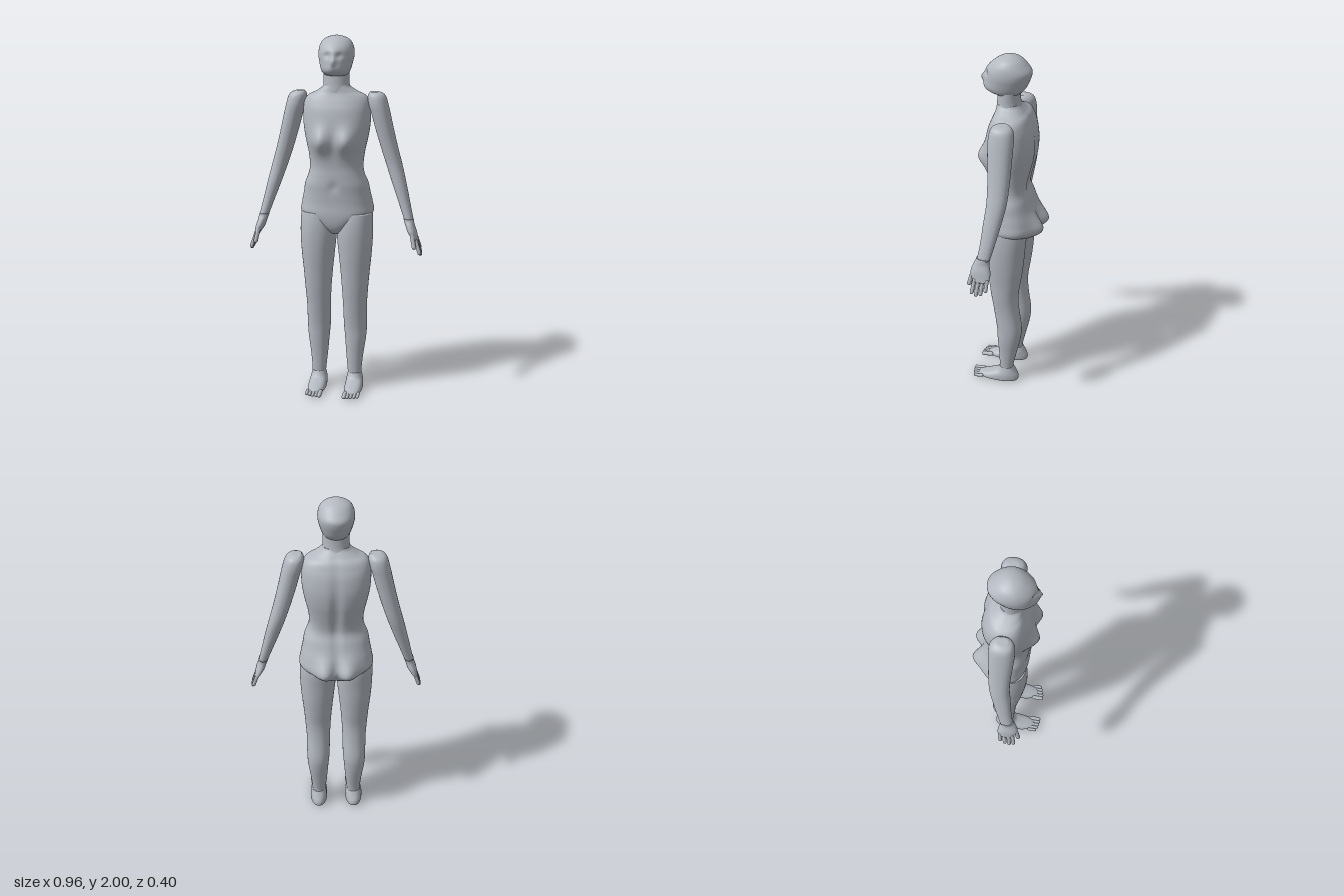
import * as THREE from 'three';

const skin = new THREE.MeshStandardMaterial({ color: 0xb4b9c1 });
skin.name = 'matte grey';

// Catmull-Rom blend of four numbers
const blend = (a, b, c, d, t) =>
  b + 0.5 * t * (c - a + t * (2 * a - 5 * b + 4 * c - d + t * (3 * (b - c) + d - a)));

// Horizontal slices [y, centre x, half width, front z, back z], listed from bottom to top
function loft(name, rows, { power = 2, shape = null, seg = 48, steps = 5 } = {}) {
  const at = (i) => rows[Math.min(Math.max(i, 0), rows.length - 1)];
  const rings = [];
  for (let i = 0; i < rows.length - 1; i++) {
    for (let k = 0; k < steps; k++) {
      rings.push(at(i).map((_, c) => blend(at(i - 1)[c], at(i)[c], at(i + 1)[c], at(i + 2)[c], k / steps)));
    }
  }
  rings.push(at(rows.length - 1));
  const pos = [], idx = [];
  const bend = (v) => Math.sign(v) * Math.abs(v) ** (2 / power);
  for (const [y, cx, hw, zf, zb] of rings) {
    for (let j = 0; j < seg; j++) {
      const a = (j / seg) * Math.PI * 2;
      const p = new THREE.Vector3(cx + hw * bend(Math.cos(a)), y, (zf + zb) / 2 + ((zf - zb) / 2) * bend(Math.sin(a)));
      if (shape) shape(p, Math.sin(a));
      pos.push(p.x, p.y, p.z);
    }
  }
  for (let i = 0; i < rings.length - 1; i++) {
    for (let j = 0; j < seg; j++) {
      const a = i * seg + j, b = i * seg + (j + 1) % seg;
      idx.push(a, a + seg, b, b, a + seg, b + seg);
    }
  }
  // end caps
  const low = rings[0], high = rings[rings.length - 1], n = rings.length * seg;
  for (const r of [low, high]) pos.push(r[1], r[0], (r[3] + r[4]) / 2);
  for (let j = 0; j < seg; j++) {
    const k = (j + 1) % seg, top = n - seg;
    idx.push(n, j, k, n + 1, top + k, top + j);
  }
  const geo = new THREE.BufferGeometry();
  geo.setAttribute('position', new THREE.Float32BufferAttribute(pos, 3));
  geo.setIndex(idx);
  geo.computeVertexNormals();
  const mesh = new THREE.Mesh(geo, skin);
  mesh.name = name;
  return mesh;
}

// Rounded finger or toe between two points
function digit(name, from, to, radius) {
  const a = new THREE.Vector3(...from), b = new THREE.Vector3(...to);
  const dir = b.clone().sub(a);
  const mesh = new THREE.Mesh(new THREE.CapsuleGeometry(radius, Math.max(dir.length() - 2 * radius, 0.001), 5, 12), skin);
  mesh.name = name;
  mesh.position.copy(a).add(b).multiplyScalar(0.5);
  mesh.quaternion.setFromUnitVectors(new THREE.Vector3(0, 1, 0), dir.normalize());
  return mesh;
}

const bump = (v, centre, width) => Math.exp(-(((v - centre) / width) ** 2));

// Chest, navel, spine and seat relief
function torsoShape(p, side) {
  const x = Math.abs(p.x);
  if (side > 0) {
    p.z += side * 0.045 * bump(x, 0.075, 0.055) * bump(p.y, 1.44, 0.065);
    p.z -= side * 0.008 * bump(x, 0, 0.025) * bump(p.y, 1.19, 0.03);
  } else {
    p.z += side * 0.046 * bump(x, 0.068, 0.055) * bump(p.y, 1.035, 0.075);
    p.z -= side * 0.014 * bump(x, 0, 0.025) * bump(p.y, 1.38, 0.24);
    p.z -= side * 0.012 * bump(x, 0, 0.02) * bump(p.y, 1.03, 0.08);
  }
}

// Nose, brow and eye sockets
function faceShape(p, side) {
  if (side <= 0) return;
  const x = Math.abs(p.x);
  p.z += side * 0.02 * bump(x, 0, 0.014) * bump(p.y, 1.868, 0.026);
  p.z -= side * 0.013 * bump(x, 0.036, 0.02) * bump(p.y, 1.9, 0.018);
  p.x *= 1 - 0.14 * side * side;
}

function createModel() {
  const model = new THREE.Group();
  model.name = 'mannequin';

  model.add(loft('head', [
    [1.785, 0, 0.055, 0.055, -0.045], [1.803, 0, 0.07, 0.118, -0.065], [1.825, 0, 0.08, 0.139, -0.085],
    [1.86, 0, 0.089, 0.135, -0.102], [1.89, 0, 0.095, 0.131, -0.113], [1.92, 0, 0.095, 0.125, -0.115],
    [1.95, 0, 0.088, 0.102, -0.092], [1.975, 0, 0.072, 0.072, -0.066], [1.99, 0, 0.047, 0.046, -0.04],
    [1.998, 0, 0.02, 0.02, -0.016], [2.0, 0, 0.003, 0.004, 0],
  ], { power: 2.1, shape: faceShape }));

  model.add(loft('neck', [
    [1.66, 0, 0.08, 0.072, -0.075], [1.71, 0, 0.076, 0.07, -0.066], [1.75, 0, 0.07, 0.066, -0.057],
    [1.82, 0, 0.07, 0.062, -0.055],
  ]));

  model.add(loft('torso', [
    [0.922, 0, 0.038, 0.06, -0.06], [0.945, 0, 0.065, 0.088, -0.095], [0.98, 0, 0.125, 0.102, -0.13],
    [1.03, 0, 0.198, 0.107, -0.163], [1.09, 0, 0.195, 0.103, -0.155], [1.15, 0, 0.183, 0.104, -0.137],
    [1.2, 0, 0.174, 0.107, -0.122], [1.25, 0, 0.154, 0.106, -0.105], [1.3, 0, 0.146, 0.105, -0.109],
    [1.37, 0, 0.153, 0.112, -0.126], [1.44, 0, 0.168, 0.122, -0.142], [1.52, 0, 0.181, 0.121, -0.148],
    [1.6, 0, 0.183, 0.108, -0.138], [1.65, 0, 0.176, 0.09, -0.12], [1.68, 0, 0.155, 0.077, -0.105],
    [1.7, 0, 0.115, 0.07, -0.085], [1.725, 0, 0.078, 0.066, -0.064], [1.74, 0, 0.068, 0.062, -0.055],
  ], { power: 2.4, shape: torsoShape, seg: 96 }));

  for (const [s, label] of [[1, 'left'], [-1, 'right']]) {
    const mirrored = (rows) => rows.map(([y, x, ...rest]) => [y, s * x, ...rest]);
    const limb = (part, rows, power) => model.add(loft(label + part, mirrored(rows), { power }));

    limb('Leg', [
      [0.085, 0.103, 0.038, 0.031, -0.048], [0.12, 0.102, 0.04, 0.032, -0.05], [0.2, 0.102, 0.048, 0.036, -0.068],
      [0.3, 0.105, 0.059, 0.042, -0.09], [0.38, 0.104, 0.065, 0.046, -0.096], [0.5, 0.103, 0.067, 0.062, -0.08],
      [0.6, 0.104, 0.073, 0.077, -0.076], [0.7, 0.104, 0.081, 0.089, -0.09], [0.8, 0.104, 0.091, 0.1, -0.103],
      [0.9, 0.102, 0.099, 0.106, -0.111], [0.98, 0.102, 0.099, 0.104, -0.118], [1.04, 0.105, 0.092, 0.095, -0.115],
    ], 2.15);

    limb('Foot', [
      [0.006, 0.104, 0.042, 0.145, -0.066], [0.012, 0.104, 0.049, 0.162, -0.077], [0.024, 0.104, 0.05, 0.158, -0.08],
      [0.038, 0.104, 0.049, 0.125, -0.078], [0.052, 0.104, 0.047, 0.085, -0.072], [0.07, 0.103, 0.044, 0.048, -0.062],
      [0.1, 0.103, 0.037, 0.03, -0.047],
    ], 2.3);

    // toes, from the big one outward
    [0.198, 0.197, 0.194, 0.189, 0.181].forEach((z, i) => {
      const x = s * (0.07 + i * 0.0185);
      model.add(digit(label + 'Toe', [x, 0.02, 0.125], [x, 0.014, z], i ? 0.009 : 0.012));
    });

    limb('Arm', [
      [1.01, 0.404, 0.025, 0.065, -0.005], [1.1, 0.377, 0.031, 0.053, -0.027], [1.2, 0.347, 0.038, 0.045, -0.05],
      [1.3, 0.317, 0.043, 0.036, -0.07], [1.4, 0.287, 0.046, 0.038, -0.077], [1.5, 0.26, 0.049, 0.045, -0.08],
      [1.58, 0.24, 0.051, 0.05, -0.082], [1.63, 0.226, 0.053, 0.051, -0.083], [1.67, 0.217, 0.05, 0.045, -0.077],
      [1.69, 0.212, 0.04, 0.033, -0.063], [1.7, 0.204, 0.025, 0.012, -0.042],
    ], 2.2);

    limb('Hand', [
      [0.895, 0.447, 0.012, 0.072, -0.008], [0.92, 0.436, 0.018, 0.088, -0.014], [0.95, 0.423, 0.025, 0.094, -0.012],
      [0.985, 0.411, 0.025, 0.083, -0.003], [1.005, 0.405, 0.027, 0.073, -0.002], [1.02, 0.402, 0.027, 0.068, -0.003],
    ], 2.2);

    // fingers, from the little one forward
    [[0.0, 0.845], [0.023, 0.825], [0.045, 0.818], [0.066, 0.828]].forEach(([z, y], i) => {
      model.add(digit(label + 'Finger', [s * 0.442, 0.915, z], [s * (0.474 - (y - 0.818) * 0.3), y, z + 0.004 + i * 0.003], 0.0105));
    });
    model.add(digit(label + 'Thumb', [s * 0.424, 0.95, 0.08], [s * 0.442, 0.862, 0.102], 0.012));
  }
  return model;
}

export { createModel };
